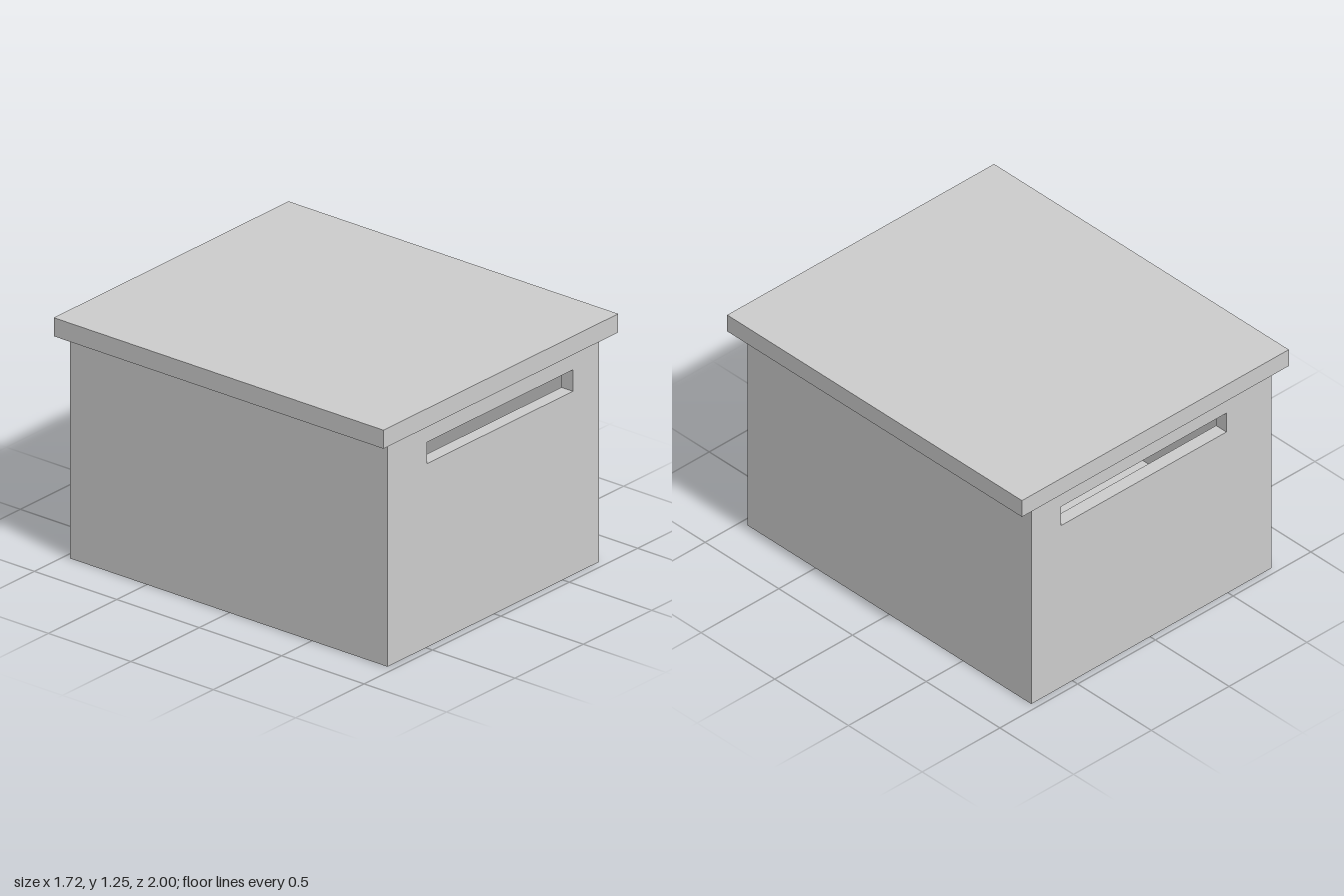
import * as THREE from 'three';

const material = new THREE.MeshStandardMaterial({ color: 0xcccccc, flatShading: true });

// Box given by its minimum and maximum corners
function block(name, [x0, y0, z0], [x1, y1, z1]) {
  const mesh = new THREE.Mesh(new THREE.BoxGeometry(x1 - x0, y1 - y0, z1 - z0), material);
  mesh.position.set((x0 + x1) / 2, (y0 + y1) / 2, (z0 + z1) / 2);
  mesh.name = name;
  return mesh;
}

function rectangle(PathType, x0, y0, x1, y1) {
  return new PathType([[x0, y0], [x1, y0], [x1, y1], [x0, y1]].map(([x, y]) => new THREE.Vector2(x, y)));
}

export function createModel() {
  const group = new THREE.Group();
  group.name = 'slottedBox';

  const left = -0.78, right = 0.765, back = -0.965, front = 0.96;
  const wall = 0.07, top = 1.155, floor = 0.23;

  // End walls, each with a long hand slot
  const panel = rectangle(THREE.Shape, left, 0, right, top);
  panel.holes.push(rectangle(THREE.Path, -0.49, 0.94, 0.575, 1.05));
  const panelGeometry = new THREE.ExtrudeGeometry(panel, { depth: wall, bevelEnabled: false });
  for (const [name, z] of [['frontWall', front - wall], ['backWall', back]]) {
    const mesh = new THREE.Mesh(panelGeometry, material);
    mesh.position.z = z;
    mesh.name = name;
    group.add(mesh);
  }

  // Side walls and raised floor between the end walls
  const z0 = back + wall, z1 = front - wall;
  group.add(
    block('rightWall', [left, 0, z0], [left + wall, top, z1]),
    block('leftWall', [right - wall, 0, z0], [right, top, z1]),
    block('floor', [left + wall, 0, z0], [right - wall, floor, z1]),
  );

  // Overhanging lid
  group.add(block('lid', [-0.858, top, -1], [0.858, 1.25, 1]));

  return group;
}
